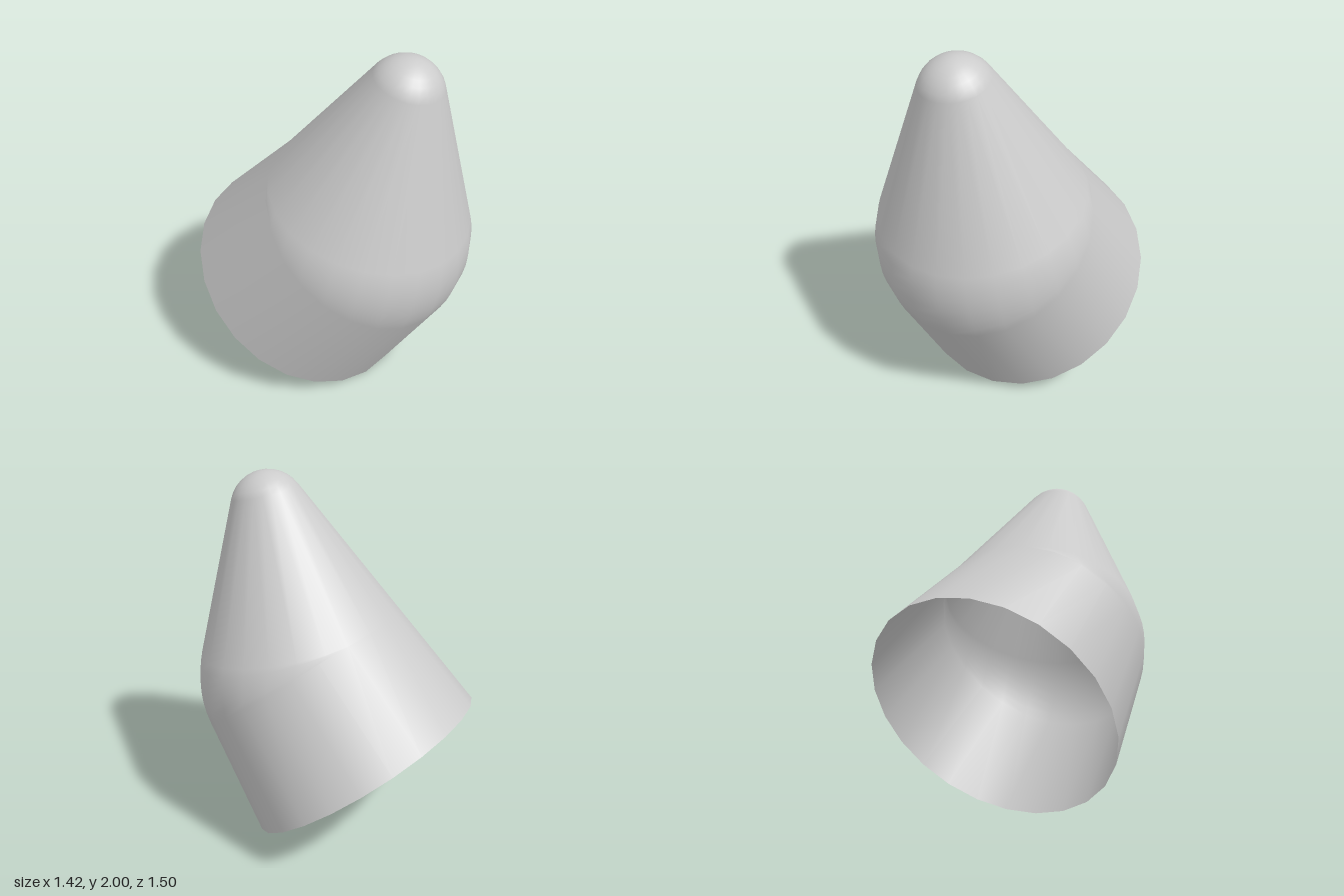
import * as THREE from 'three';
import { mergeVertices } from 'three/addons/utils/BufferGeometryUtils.js';

const SIDES = 24, JOINT_STEPS = 6, TIP_STEPS = 6;

// Joints of the bent cone: open rim, rounded bend, rounded tip
const rim = { center: new THREE.Vector3(-0.04, 0.415, -0.175), radius: 0.69 };
const bend = { center: new THREE.Vector3(0.1, 0.88, 0.14), radius: 0.612 };
const tip = { center: new THREE.Vector3(0.2, 1.8, 0.35), radius: 0.2 };

function bentConeGeometry() {
  const lowerAxis = bend.center.clone().sub(rim.center).normalize();
  const upperAxis = tip.center.clone().sub(bend.center).normalize();
  const hinge = lowerAxis.clone().cross(upperAxis).normalize();

  // Unit direction around an axis, raised by an angle toward that axis
  const direction = (axis, phi, rise) => {
    const across = axis.clone().cross(hinge);
    return hinge.clone().multiplyScalar(Math.cos(phi) * Math.cos(rise))
      .addScaledVector(across, Math.sin(phi) * Math.cos(rise))
      .addScaledVector(axis, Math.sin(rise));
  };
  const onBall = (ball, dir) => ball.center.clone().addScaledVector(dir, ball.radius);

  // Slopes of the two cones, both tangent to the ball at the bend
  const lowerLength = bend.center.distanceTo(rim.center);
  const lowerRise = Math.acos(bend.radius / Math.hypot(rim.radius, lowerLength))
    - Math.atan2(lowerLength, rim.radius);
  const upperRise = Math.asin((bend.radius - tip.radius) / tip.center.distanceTo(bend.center));

  const ringCount = 1 + (JOINT_STEPS + 1) + (TIP_STEPS + 1);
  const rings = Array.from({ length: ringCount }, () => []);
  for (let j = 0; j < SIDES; j++) {
    const phi = (j / SIDES) * Math.PI * 2;
    let r = 0;
    rings[r++].push(rim.center.clone().addScaledVector(direction(lowerAxis, phi, 0), rim.radius));

    // Joint: sweep the ball between the cones, or meet halfway on the inner side
    const from = direction(lowerAxis, phi, Math.abs(lowerRise));
    const to = direction(upperAxis, phi, upperRise);
    const folded = to.clone().sub(from).dot(upperAxis) < 0;
    for (let k = 0; k <= JOINT_STEPS; k++) {
      const t = folded ? 0.5 : k / JOINT_STEPS;
      rings[r++].push(onBall(bend, from.clone().lerp(to, t).normalize()));
    }

    // Rounded tip
    for (let k = 0; k <= TIP_STEPS; k++) {
      const rise = THREE.MathUtils.lerp(upperRise, Math.PI / 2, k / TIP_STEPS);
      rings[r++].push(onBall(tip, direction(upperAxis, phi, rise)));
    }
  }

  const index = [];
  for (let i = 0; i < ringCount - 1; i++) {
    for (let j = 0; j < SIDES; j++) {
      const a = i * SIDES + j, b = i * SIDES + (j + 1) % SIDES;
      index.push(a, b, b + SIDES, a, b + SIDES, a + SIDES);
    }
  }
  const geometry = new THREE.BufferGeometry().setFromPoints(rings.flat());
  geometry.setIndex(index);
  const merged = mergeVertices(geometry, 1e-5);
  merged.computeVertexNormals();
  return merged;
}

export function createModel() {
  const group = new THREE.Group();
  group.name = 'bentCone';
  const shell = new THREE.Mesh(
    bentConeGeometry(),
    new THREE.MeshStandardMaterial({ color: 0xcccccc, side: THREE.DoubleSide })
  );
  shell.name = 'openShell';
  group.add(shell);
  return group;
}
